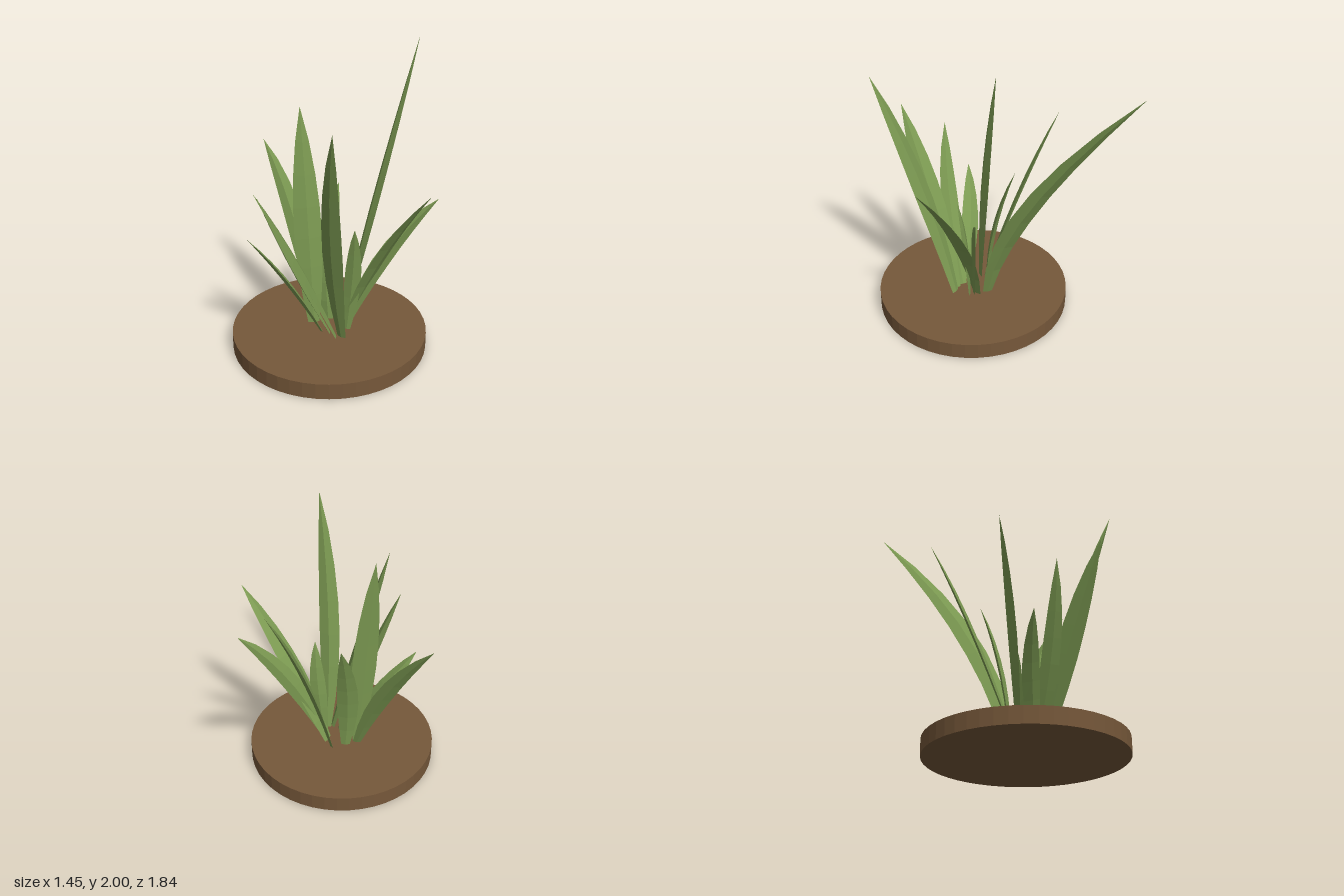
import * as THREE from 'three';

const green = new THREE.MeshStandardMaterial({ color: 0x7c9a52, flatShading: true });
green.name = 'leafGreen';
const brown = new THREE.MeshStandardMaterial({ color: 0x76583a, flatShading: true });
brown.name = 'soilBrown';

// Blade width from root to tip, as a share of the widest point
const PROFILE = [0.42, 0.7, 0.9, 1, 0.95, 0.78, 0.48, 0];

// A blade with a thin diamond section, swept along a curve through root, middle and tip
function bladeGeometry(root, middle, tip, across, width) {
  const [a, m, b] = [root, middle, tip].map((p) => new THREE.Vector3(...p));
  const control = m.clone().multiplyScalar(2).addScaledVector(a, -0.5).addScaledVector(b, -0.5);
  const spine = new THREE.QuadraticBezierCurve3(a, control, b);
  const positions = [];
  const indices = [];
  const last = PROFILE.length - 1;

  PROFILE.forEach((share, i) => {
    const centre = spine.getPoint(i / last);
    const tangent = spine.getTangent(i / last);
    const side = new THREE.Vector3(...across);
    side.addScaledVector(tangent, -side.dot(tangent)).normalize();
    const ridge = new THREE.Vector3().crossVectors(tangent, side);
    const half = (width * share) / 2;
    for (const [s, r] of [[1, 0], [0, 0.22], [-1, 0], [0, -0.22]]) {
      const p = centre.clone().addScaledVector(side, s * half).addScaledVector(ridge, r * half);
      positions.push(p.x, p.y, p.z);
    }
    if (i === last) return;
    for (let j = 0; j < 4; j++) {
      const k = (j + 1) % 4;
      const p = i * 4 + j, q = i * 4 + k;
      indices.push(p, q, q + 4);
      if (i < last - 1) indices.push(p, q + 4, p + 4);
    }
  });

  const geometry = new THREE.BufferGeometry();
  geometry.setAttribute('position', new THREE.Float32BufferAttribute(positions, 3));
  geometry.setIndex(indices);
  geometry.computeVertexNormals();
  return geometry;
}

// root, middle, tip, direction across the blade, greatest width
const LEAVES = {
  tallBackLeaf: [[0.06, 0.12, 0.1], [0.27, 1.02, -0.21], [0.51, 2, -0.92], [0.45, 0.4, 1], 0.165],
  tallFrontLeaf: [[0.075, 0.12, 0.34], [0.035, 1, 0.57], [0.08, 1.9, 0.87], [0.85, 0, 0.45], 0.165],
  tallSideLeaf: [[-0.15, 0.12, 0.17], [-0.195, 0.92, 0.13], [-0.25, 1.76, 0.05], [0.9, 0, -0.3], 0.2],
  frontRightLeaf: [[0.03, 0.12, 0.34], [-0.2, 0.78, 0.53], [-0.44, 1.43, 0.76], [0.25, -0.2, 1], 0.165],
  innerRightLeaf: [[-0.02, 0.12, 0.29], [-0.25, 0.68, 0.4], [-0.49, 1.26, 0.45], [0.27, -0.03, 1], 0.13],
  lowRightLeaf: [[-0.08, 0.12, 0.28], [-0.33, 0.5, 0.26], [-0.6, 0.84, 0.29], [0.49, 0.35, 1], 0.14],
  backRightLeaf: [[-0.14, 0.12, 0.13], [-0.33, 0.8, -0.13], [-0.6, 1.32, -0.4], [1.1, 0.42, 0], 0.14],
  shortBackLeaf: [[-0.05, 0.12, 0.11], [-0.06, 0.63, 0.05], [0, 1.14, -0.1], [0.95, 0, 0.1], 0.16],
  frontLeftLeaf: [[0.08, 0.12, 0.18], [0.34, 0.77, 0.29], [0.68, 1.36, 0.51], [-0.6, 0.05, 0.8], 0.18],
  leftLeaf: [[0.08, 0.12, 0.2], [0.37, 0.73, 0.17], [0.72, 1.16, 0.12], [-0.85, 0.5, 0.28], 0.13],
  shortFrontLeaf: [[0.1, 0.12, 0.23], [0.145, 0.58, 0.25], [0.16, 0.97, 0.3], [1, 0, 0.15], 0.12],
};

export function createModel() {
  const model = new THREE.Group();
  model.name = 'leafyPlant';

  // Round soil base, set off-centre below the spreading leaves
  const base = new THREE.Mesh(new THREE.CylinderGeometry(0.705, 0.705, 0.12, 48), brown);
  base.name = 'soilBase';
  base.position.set(-0.03, 0.06, 0.215);
  model.add(base);

  // Ring of pointed leaves
  for (const [name, shape] of Object.entries(LEAVES)) {
    const leaf = new THREE.Mesh(bladeGeometry(...shape), green);
    leaf.name = name;
    model.add(leaf);
  }
  return model;
}
